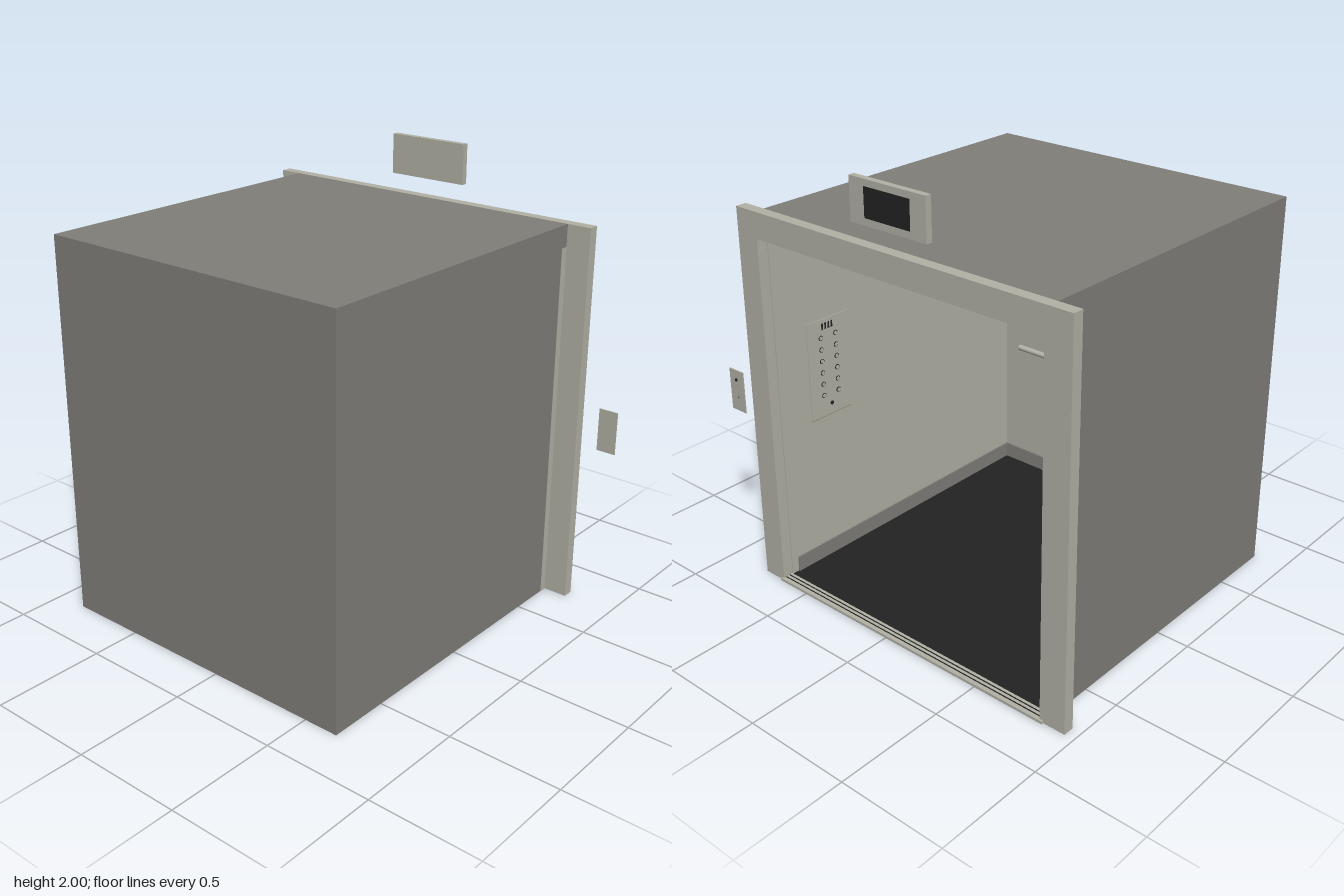
import * as THREE from 'three';

const mat = (name, color) => {
  const m = new THREE.MeshStandardMaterial({ color });
  m.name = name;
  return m;
};

export function createModel() {
  const root = new THREE.Group();
  root.name = 'liftCabin';
  const steel = mat('paleSteel', 0xb3b2a6);
  const grey = mat('shellGrey', 0x817f7a);
  const black = mat('black', 0x232323);
  const tan = mat('lampPanel', 0x948a76);

  const group = (name) => {
    const g = new THREE.Group();
    g.name = name;
    root.add(g);
    return g;
  };
  // Box given by its limits on each axis
  const box = (parent, name, m, [x0, x1], [y0, y1], [z0, z1]) => {
    const b = new THREE.Mesh(new THREE.BoxGeometry(x1 - x0, y1 - y0, z1 - z0), m);
    b.name = name;
    b.position.set((x0 + x1) / 2, (y0 + y1) / 2, (z0 + z1) / 2);
    parent.add(b);
    return b;
  };
  // Short round button whose axis lies along x or z
  const button = (parent, name, m, r, depth, axis, x, y, z) => {
    const b = new THREE.Mesh(new THREE.CylinderGeometry(r, r, depth, 16), m);
    b.name = name;
    if (axis === 'x') b.rotation.z = Math.PI / 2;
    else b.rotation.x = Math.PI / 2;
    b.position.set(x, y, z);
    parent.add(b);
  };

  // Outer shell
  const shell = group('shell');
  box(shell, 'backWall', grey, [-0.78, -0.773], [0, 1.74], [-0.85, 0.66]);
  box(shell, 'leftWall', grey, [-0.773, 0.685], [0, 1.73], [-0.85, -0.845]);
  box(shell, 'rightWall', grey, [-0.773, 0.685], [0, 1.73], [0.655, 0.66]);
  box(shell, 'roof', grey, [-0.773, 0.72], [1.73, 1.74], [-0.85, 0.66]);
  box(shell, 'headerBeam', grey, [0.685, 0.72], [1.64, 1.73], [-0.85, 0.66]);
  box(shell, 'floor', black, [-0.773, 0.72], [0.001, 0.012], [-0.845, 0.655]);

  // Interior wall cladding, baseboard and seam
  const inside = group('interior');
  box(inside, 'backCladding', steel, [-0.773, -0.768], [0.012, 1.73], [-0.845, 0.655]);
  box(inside, 'leftCladding', steel, [-0.768, 0.685], [0.012, 1.73], [-0.845, -0.84]);
  box(inside, 'rightCladding', steel, [-0.768, 0.685], [0.012, 1.73], [0.65, 0.655]);
  box(inside, 'backBaseboard', grey, [-0.768, -0.758], [0.012, 0.085], [-0.84, 0.65]);
  box(inside, 'leftBaseboard', grey, [-0.758, 0.685], [0.012, 0.085], [-0.84, -0.832]);
  box(inside, 'rightBaseboard', grey, [-0.758, 0.685], [0.012, 0.085], [0.643, 0.65]);
  box(inside, 'wallSeam', black, [-0.768, -0.766], [0.085, 1.73], [0.157, 0.162]);

  // Ceiling lamp with a dark rim
  box(inside, 'lampRim', black, [-0.495, 0.435], [1.727, 1.73], [-0.565, 0.375]);
  box(inside, 'ceilingLamp', tan, [-0.49, 0.43], [1.724, 1.727], [-0.56, 0.37]);

  // Handrail on the back wall
  const rail = group('handrail');
  const bar = new THREE.Mesh(new THREE.CapsuleGeometry(0.014, 1.212, 6, 16), steel);
  bar.name = 'railBar';
  bar.rotation.x = Math.PI / 2;
  bar.position.set(-0.715, 0.686, -0.09);
  rail.add(bar);
  for (const z of [-0.5, 0.32]) button(rail, 'railBracket', steel, 0.008, 0.053, 'x', -0.742, 0.686, z);

  // Door frame, inner lining and sill
  const frame = group('doorFrame');
  box(frame, 'rightPost', steel, [0.72, 0.77], [0, 1.74], [0.655, 0.77]);
  box(frame, 'leftPost', steel, [0.72, 0.77], [0, 1.74], [-0.955, -0.832]);
  box(frame, 'lintel', steel, [0.72, 0.77], [1.625, 1.74], [-0.832, 0.655]);
  box(frame, 'rightLining', steel, [0.685, 0.72], [0, 1.64], [0.65, 0.661]);
  box(frame, 'leftLining', steel, [0.685, 0.72], [0, 1.64], [-0.851, -0.832]);
  box(frame, 'topLining', steel, [0.685, 0.72], [1.625, 1.64], [-0.832, 0.65]);
  box(frame, 'sill', steel, [0.72, 0.78], [0, 0.012], [-0.85, 0.665]);
  for (const x of [0.735, 0.755]) box(frame, 'sillGroove', black, [x, x + 0.005], [0.012, 0.0135], [-0.83, 0.654]);

  // Control panel on the right wall
  const control = group('controlPanel');
  box(control, 'panelPlate', steel, [0.32, 0.55], [0.72, 1.18], [0.646, 0.65]);
  box(control, 'panelBottomEdge', tan, [0.32, 0.55], [0.717, 0.72], [0.645, 0.65]);
  for (let i = 0; i < 4; i++) {
    const x = 0.405 + i * 0.018;
    box(control, 'indicatorBar', black, [x, x + 0.009], [1.13, 1.16], [0.645, 0.646]);
  }
  for (let row = 0; row < 6; row++) {
    for (const x of [0.39, 0.475]) {
      const y = 0.82 + row * 0.055;
      button(control, 'buttonRim', black, 0.012, 0.002, 'z', x, y, 0.645);
      button(control, 'floorButton', steel, 0.009, 0.004, 'z', x, y, 0.644);
    }
  }
  button(control, 'keySwitch', black, 0.009, 0.004, 'z', 0.432, 0.77, 0.645);

  // Call plate beside the door
  const call = group('callPlate');
  box(call, 'plate', steel, [0.734, 0.739], [0.76, 0.955], [0.867, 0.955]);
  button(call, 'upButton', black, 0.007, 0.006, 'x', 0.741, 0.91, 0.911);
  button(call, 'downButtonRim', black, 0.007, 0.003, 'x', 0.74, 0.828, 0.911);
  button(call, 'downButton', steel, 0.0055, 0.006, 'x', 0.741, 0.828, 0.911);

  // Floor indicator above the door
  const sign = group('floorIndicator');
  box(sign, 'indicatorCase', steel, [0.735, 0.763], [1.82, 2], [-0.285, 0.105]);
  box(sign, 'indicatorScreen', black, [0.763, 0.765], [1.85, 1.972], [-0.205, 0.028]);

  return root;
}
